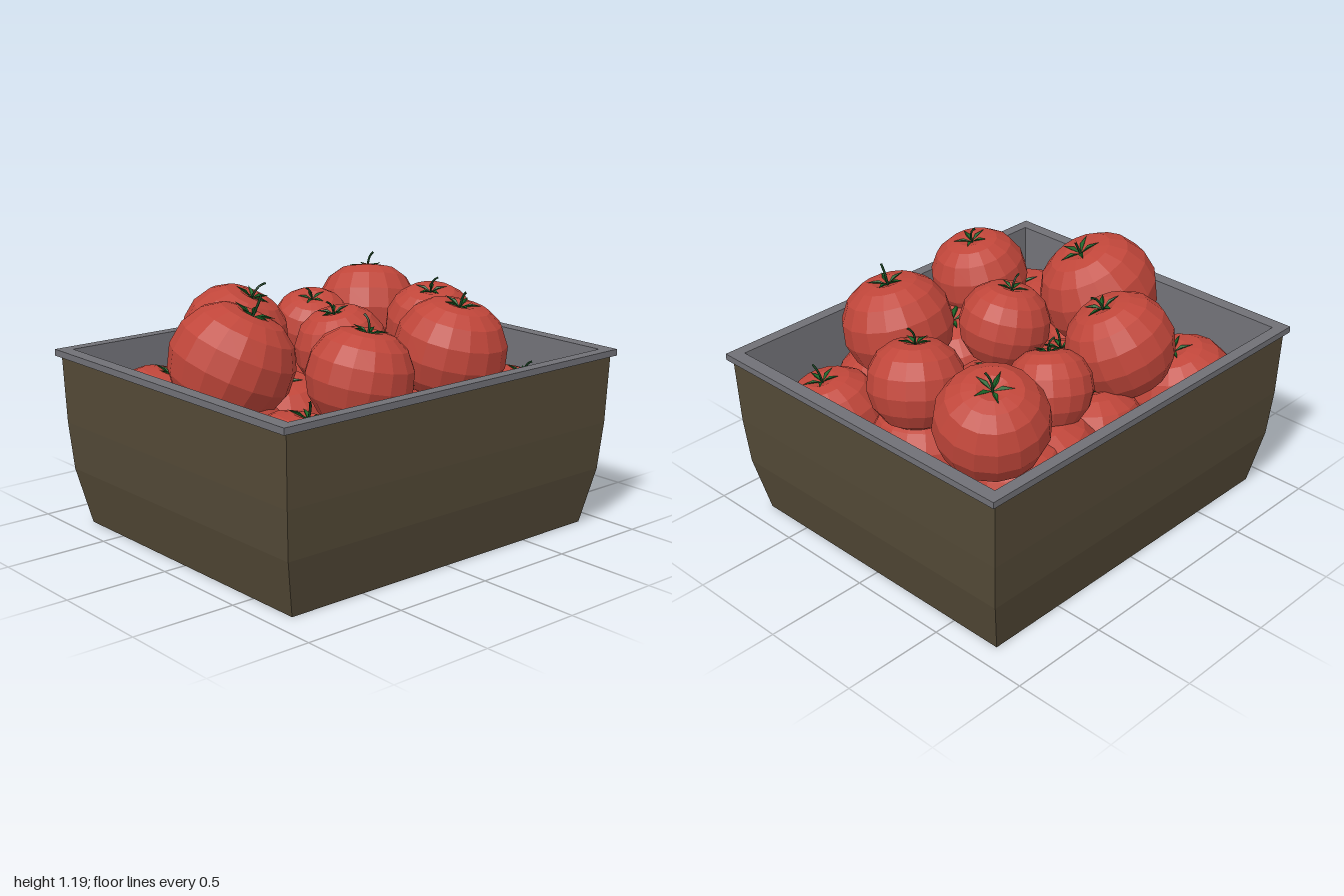
import * as THREE from 'three';

const mat = (name, color, extra = {}) => {
  const m = new THREE.MeshStandardMaterial({ color, ...extra });
  m.name = name;
  return m;
};

// Unshared vertices give crisp facets
function faceted(geometry) {
  const g = geometry.index ? geometry.toNonIndexed() : geometry;
  g.computeVertexNormals();
  return g;
}

// Skin a stack of rectangles [halfX, halfZ, y]
function rectLoft(rings) {
  const signs = [[1, 1], [1, -1], [-1, -1], [-1, 1]];
  const pos = [];
  const corner = ([hx, hz, y], k) => [signs[k % 4][0] * hx, y, signs[k % 4][1] * hz];
  for (let i = 0; i < rings.length - 1; i++) {
    for (let k = 0; k < 4; k++) {
      const a = corner(rings[i], k), b = corner(rings[i], k + 1);
      const c = corner(rings[i + 1], k + 1), d = corner(rings[i + 1], k);
      pos.push(...a, ...b, ...c, ...a, ...c, ...d);
    }
  }
  const g = new THREE.BufferGeometry();
  g.setAttribute('position', new THREE.Float32BufferAttribute(pos, 3));
  g.computeVertexNormals();
  return g;
}

// Unit tomato: flattened lathe with a dimple on top
function tomatoGeometry() {
  const profile = [[0, -0.82], [0.3, -0.86], [0.62, -0.72], [0.87, -0.42], [0.99, -0.05],
    [0.95, 0.33], [0.77, 0.65], [0.52, 0.83], [0.27, 0.88], [0, 0.79]];
  return faceted(new THREE.LatheGeometry(profile.map(([x, y]) => new THREE.Vector2(x, y)), 16));
}

// One calyx leaf, bent to arch out of the dimple
function leafGeometry() {
  const shape = new THREE.Shape([[0, 0], [0.15, -0.045], [0.36, 0], [0.15, 0.045]]
    .map(([x, y]) => new THREE.Vector2(x, y)));
  const g = new THREE.ShapeGeometry(shape).rotateX(-Math.PI / 2);
  const p = g.attributes.position;
  for (let i = 0; i < p.count; i++) {
    const x = p.getX(i);
    p.setY(i, x < 0.1 ? 0.81 : x < 0.3 ? 0.9 : 0.91);
  }
  return faceted(g);
}

function stemGeometry() {
  const path = new THREE.CatmullRomCurve3([[0, 0.78, 0], [0.01, 0.95, 0], [0.06, 1.07, 0], [0.16, 1.14, 0]]
    .map((v) => new THREE.Vector3(...v)));
  return new THREE.TubeGeometry(path, 6, 0.022, 5);
}

// x, z, radius, stem x, stem z
const TOP_LAYER = [
  [-0.27, -0.43, 0.26, -0.21, -0.36],
  [0.21, -0.43, 0.2, 0.17, -0.38],
  [0.615, -0.47, 0.26, 0.66, -0.52],
  [-0.615, 0, 0.292, -0.53, 0.06],
  [-0.05, 0.1, 0.22, -0.09, 0.09],
  [0.61, 0, 0.225, 0.58, 0.03],
  [-0.335, 0.545, 0.242, -0.3, 0.56],
  [0.3, 0.45, 0.267, 0.32, 0.49],
];
const LOWER_LAYER = [
  [-0.65, -0.51, 0.275, -0.6, -0.48],
  [-0.04, -0.47, 0.26, -0.06, -0.44],
  [0.3, -0.49, 0.275, 0.33, -0.46],
  [0.5, -0.51, 0.26, 0.53, -0.48],
  [-0.25, -0.1, 0.26, -0.27, -0.06],
  [-0.65, 0.06, 0.265, -0.62, 0.08],
  [0.1, 0.04, 0.24, 0.08, 0.06],
  [0.34, 0.04, 0.225, 0.36, 0.08],
  [0.58, 0, 0.26, 0.56, 0.02],
  [-0.645, 0.505, 0.275, -0.6, 0.52],
  [-0.12, 0.46, 0.31, -0.06, 0.46],
  [0.32, 0.52, 0.255, 0.34, 0.54],
  [0.675, 0.495, 0.25, 0.71, 0.53],
];

export function createModel() {
  const model = new THREE.Group();
  model.name = 'tomatoBox';

  const boxBrown = mat('box brown', 0x544a37);
  const liningGrey = mat('lining grey', 0x707076);
  const tomatoRed = mat('tomato red', 0xc0463a);
  const leafGreen = mat('leaf green', 0x1c6628, { side: THREE.DoubleSide });
  const stemGreen = mat('stem green', 0x17401f);

  const add = (parent, name, geometry, material) => {
    const mesh = new THREE.Mesh(geometry, material);
    mesh.name = name;
    parent.add(mesh);
    return mesh;
  };

  // Tapered outer walls with base
  add(model, 'outerBox', rectLoft([
    [0, 0, 0], [0.89, 0.76, 0], [0.948, 0.81, 0.27], [0.965, 0.828, 0.5], [0.975, 0.838, 0.825],
  ]), boxBrown);

  // Rim, inner walls and inner floor
  add(model, 'rimAndLining', rectLoft([
    [0.975, 0.838, 0.825], [1, 0.856, 0.825], [1, 0.856, 0.856], [0.935, 0.8, 0.856],
    [0.895, 0.76, 0.27], [0, 0, 0.27],
  ]), liningGrey);

  // Tomatoes, each tilted so its stem leans to the given spot
  const body = tomatoGeometry(), leaf = leafGeometry(), stem = stemGeometry();
  const up = new THREE.Vector3(0, 1, 0);
  const addTomato = ([x, z, r, sx, sz], y, i) => {
    const tomato = new THREE.Group();
    tomato.name = 'tomato';
    tomato.position.set(x, y, z);
    tomato.scale.setScalar(r);
    const axis = new THREE.Vector3(sx - x, 0.78 * r, sz - z).normalize();
    tomato.quaternion.setFromUnitVectors(up, axis);
    tomato.rotateY(i * 2.4);
    add(tomato, 'tomatoBody', body, tomatoRed);
    for (let k = 0; k < 5; k++) {
      add(tomato, 'calyxLeaf', leaf, leafGreen).rotation.y = (k * Math.PI * 2) / 5;
    }
    add(tomato, 'stem', stem, stemGreen);
    model.add(tomato);
  };
  TOP_LAYER.forEach((t, i) => addTomato(t, t[2] < 0.21 ? 0.86 : 0.88, i));
  LOWER_LAYER.forEach((t, i) => addTomato(t, 0.52, i + 3));

  return model;
}
